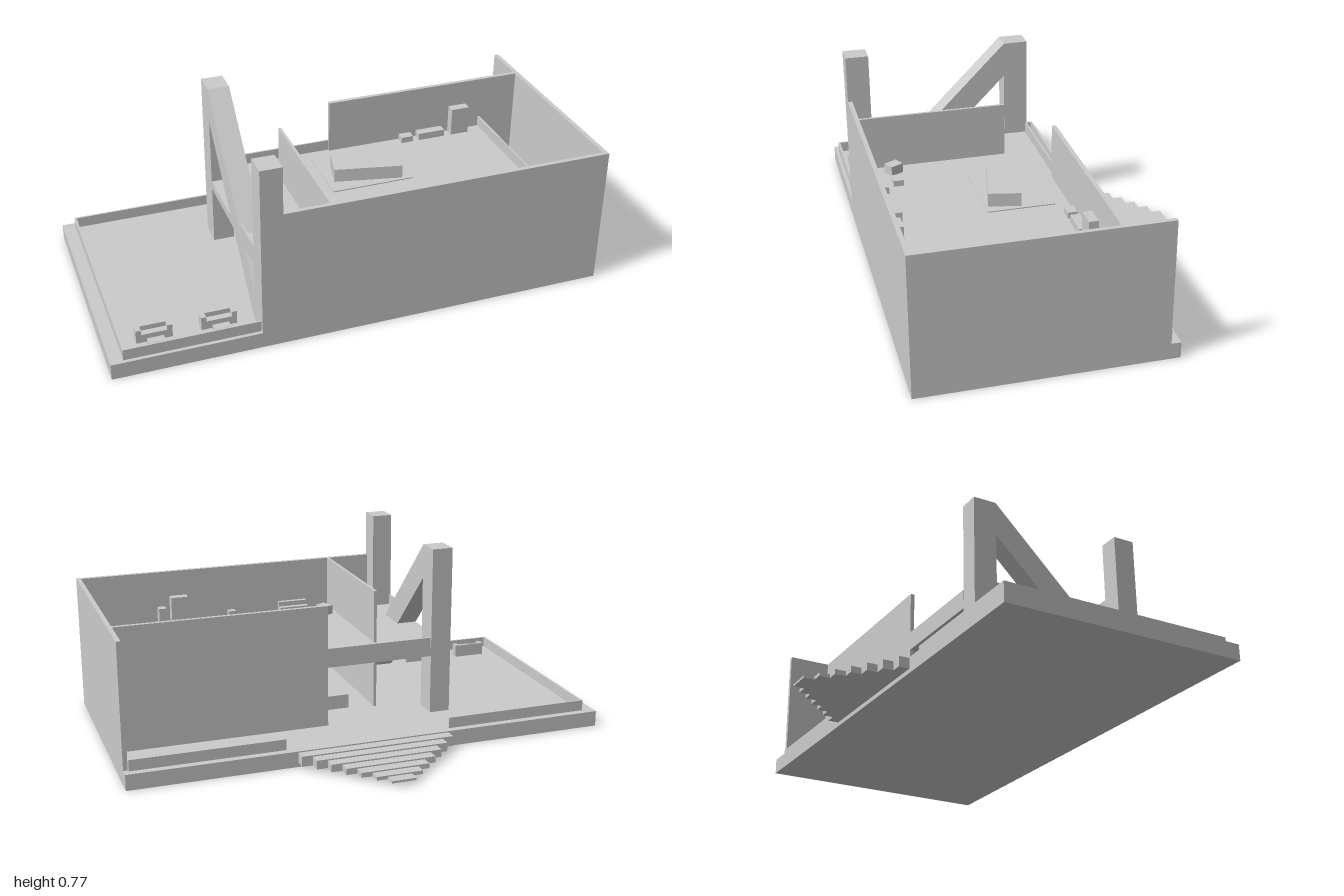
import * as THREE from 'three';

const material = new THREE.MeshStandardMaterial({ color: 0xcccccc, flatShading: true });

export function createModel() {
  const model = new THREE.Group();
  model.name = 'house';

  // box given by its limits on each axis
  const box = (name, x0, x1, y0, y1, z0, z1, parent = model) => {
    const mesh = new THREE.Mesh(new THREE.BoxGeometry(x1 - x0, y1 - y0, z1 - z0), material);
    mesh.position.set((x0 + x1) / 2, (y0 + y1) / 2, (z0 + z1) / 2);
    mesh.name = name;
    parent.add(mesh);
    return mesh;
  };

  const ground = 0.065, floor = 0.35, roof = 0.575;

  // base slab
  box('baseSlab', -1, 1, 0, ground, -0.345, 0.655);

  // tapering entrance steps at the back
  for (let i = 0; i < 7; i++) {
    const half = 0.32 - 0.045 * i;
    const z = -0.345 - 0.0443 * i;
    box('step', -half, half, 0.018, 0.06 - 0.0055 * i, z - 0.0443, z);
  }

  // low terrace parapet
  const rim = 0.11;
  box('parapetSide', -0.95, -0.942, ground, rim, -0.315, 0.64);
  box('parapetFront', -0.942, -0.42, ground, rim, 0.632, 0.64);
  box('parapetBack', -0.942, -0.335, ground, rim, -0.315, -0.307);
  box('parapetBack', 0.36, 0.98, ground, rim, -0.315, -0.307);

  // tall walls
  box('frontWall', -0.42, 1, ground, roof, 0.637, 0.655);
  box('leftWall', 0.982, 1, ground, roof, -0.305, 0.637);
  box('backWall', 0.12, 0.982, ground, roof, -0.12, -0.103);
  box('partition', -0.148, -0.136, ground, roof, 0.03, 0.637);

  // upper floor with its low railings
  box('upperFloor', -0.42, 0.82, 0.315, floor, -0.12, 0.637);
  box('railing', -0.33, 0.12, floor, 0.395, -0.12, -0.113);
  box('railing', -0.42, -0.413, floor, 0.395, 0.4, 0.56);
  box('railing', 0.813, 0.82, floor, 0.395, -0.103, 0.47);

  // two columns joined by a diagonal brace
  box('backColumn', -0.42, -0.333, ground, 0.77, -0.12, -0.02);
  box('frontColumn', -0.42, -0.333, ground, 0.77, 0.56, 0.655);
  const profile = new THREE.Shape([
    [0.02, 0.77], [-0.56, 0.19], [-0.56, ground], [-0.54, ground], [0.02, 0.625],
  ].map(([x, y]) => new THREE.Vector2(x, y)));
  const braceGeometry = new THREE.ExtrudeGeometry(profile, { depth: 0.087, bevelEnabled: false });
  const brace = new THREE.Mesh(braceGeometry, material);
  brace.name = 'diagonalBrace';
  brace.rotation.y = Math.PI / 2;
  brace.position.x = -0.42;
  model.add(brace);

  // planter on the back terrace
  box('planter', 0.56, 0.84, ground, 0.083, -0.25, -0.21);

  // terrace benches with a stool in front of each
  for (const x of [-0.813, -0.562]) {
    const bench = new THREE.Group();
    bench.name = 'terraceBench';
    bench.position.x = x;
    model.add(bench);
    box('seat', -0.05, 0.05, ground, 0.1, 0.525, 0.56, bench);
    box('back', -0.05, 0.05, 0.1, 0.12, 0.525, 0.533, bench);
    for (const s of [-1, 1]) box('arm', s * 0.06 - 0.01, s * 0.06 + 0.01, ground, 0.12, 0.525, 0.56, bench);
    box('stool', -0.032, 0.032, ground, 0.095, 0.58, 0.612, bench);
  }

  // upper floor furniture
  box('rug', 0.02, 0.365, floor, 0.354, -0.05, 0.225);
  const table = box('table', 0.06, 0.34, floor, 0.41, 0.055, 0.185);
  table.rotation.y = -0.21;
  box('backCabinet', 0.437, 0.49, floor, 0.375, -0.1, -0.062);
  box('backCabinet', 0.517, 0.635, floor, 0.38, -0.1, -0.062);
  box('backCabinet', 0.668, 0.748, floor, 0.47, -0.1, -0.062);
  box('sofaSeat', -0.02, 0.11, floor, 0.38, 0.565, 0.61);
  box('sofaBack', -0.02, 0.11, 0.38, 0.4, 0.59, 0.61);
  box('sideTable', -0.005, 0.052, floor, 0.375, 0.495, 0.537);
  const chair = box('armchair', -0.104, -0.056, floor, 0.39, 0.485, 0.543);
  chair.rotation.y = 0.5;
  box('stand', 0.32, 0.352, floor, 0.39, 0.555, 0.587);
  box('frontCabinet', 0.527, 0.602, floor, 0.465, 0.592, 0.632);
  box('frontCabinet', 0.625, 0.658, floor, 0.42, 0.592, 0.632);

  // ground floor counter
  box('counter', -0.03, 0.12, ground, 0.125, 0.05, 0.13);

  return model;
}
